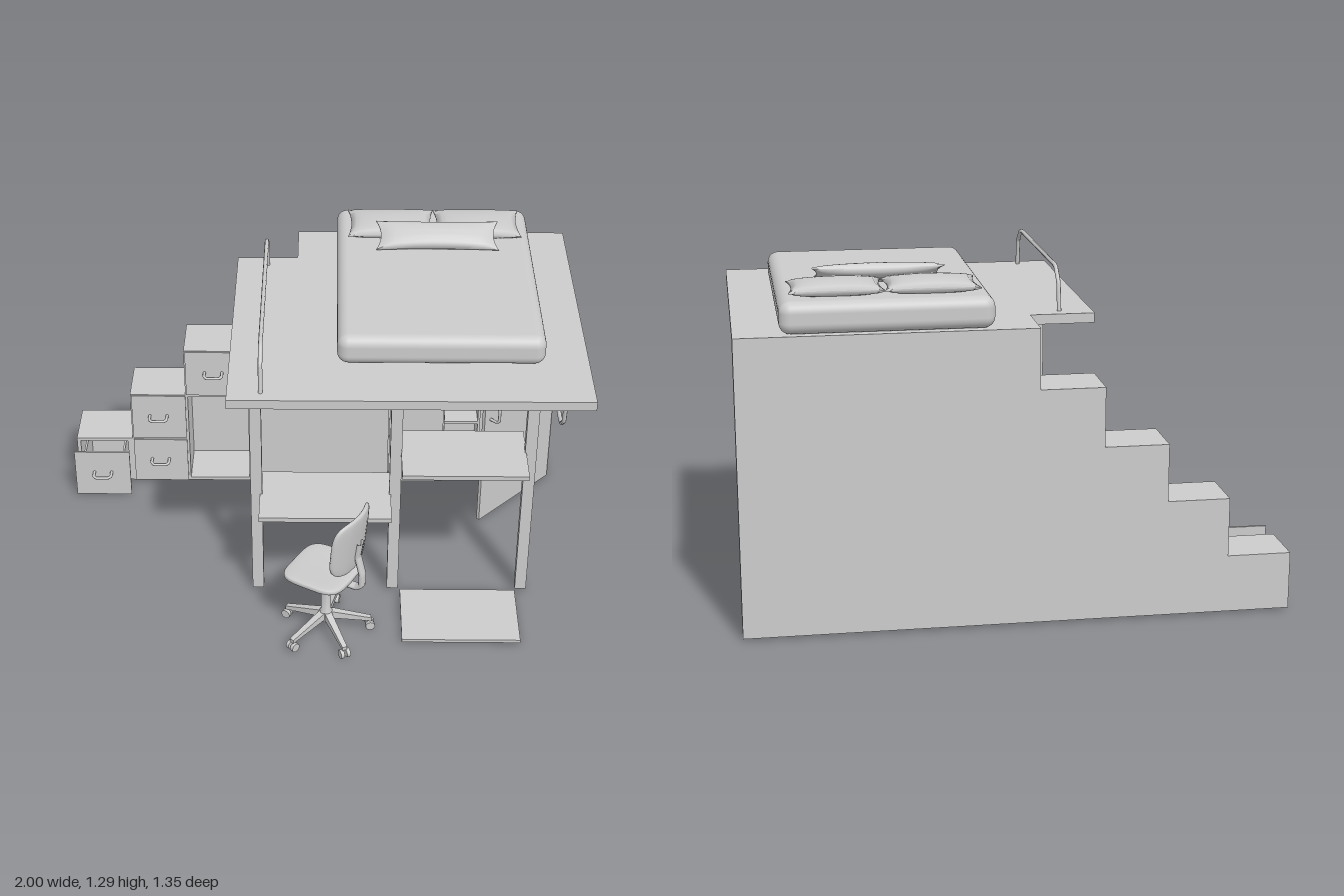
import * as THREE from 'three';
import { RoundedBoxGeometry } from 'three/addons/geometries/RoundedBoxGeometry.js';
import { toCreasedNormals } from 'three/addons/utils/BufferGeometryUtils.js';

const mat = new THREE.MeshStandardMaterial({ color: 0xcccccc, side: THREE.DoubleSide });

function add(parent, name, geo) {
  const m = new THREE.Mesh(geo, mat);
  m.name = name;
  parent.add(m);
  return m;
}
// Box given by its limits on each axis
function box(parent, name, x0, x1, y0, y1, z0, z1) {
  const m = add(parent, name, new THREE.BoxGeometry(x1 - x0, y1 - y0, z1 - z0));
  m.position.set((x0 + x1) / 2, (y0 + y1) / 2, (z0 + z1) / 2);
  return m;
}
// Tube through a list of [x, y, z] points with nearly straight runs
function tube(parent, name, pts, r, seg = 48) {
  const curve = new THREE.CatmullRomCurve3(pts.map(p => new THREE.Vector3(...p)), false, 'catmullrom', 0.1);
  return add(parent, name, new THREE.TubeGeometry(curve, seg, r, 8));
}
// U-shaped pull handle, projecting to +z
function handle(parent, x, y, z, vertical = false) {
  const w = 0.036, d = 0.045;
  const h = tube(parent, 'handle', [[-w, 0, 0], [-w, 0, d * 0.7], [-w * 0.7, 0, d], [w * 0.7, 0, d], [w, 0, d * 0.7], [w, 0, 0]], 0.006, 30);
  h.position.set(x, y, z);
  if (vertical) h.rotation.z = Math.PI / 2;
}
function outline(pts) {
  return new THREE.Shape(pts.map(p => new THREE.Vector2(...p)));
}
function rectHole(x0, x1, y0, y1) {
  return new THREE.Path([[x0, y0], [x0, y1], [x1, y1], [x1, y0]].map(p => new THREE.Vector2(...p)));
}
function slab(parent, name, shape, z0, z1) {
  const m = add(parent, name, new THREE.ExtrudeGeometry(shape, { depth: z1 - z0, bevelEnabled: false }));
  m.position.z = z0;
  return m;
}
// Pillow: thick in the middle, thin rim, pointed corners
function pillow(parent, name, w, h, d) {
  const g = new THREE.BoxGeometry(2, 2, 2, 16, 1, 16), p = g.attributes.position;
  for (let i = 0; i < p.count; i++) {
    const u = p.getX(i), v = p.getZ(i), a = 1 - u * u, b = 1 - v * v;
    p.setXYZ(i, u * w / 2 * (1 - 0.08 * b), p.getY(i) * h / 2 * (0.08 + 0.92 * Math.pow(a * b, 0.4)), v * d / 2 * (1 - 0.1 * a));
  }
  g.computeVertexNormals();
  return add(parent, name, toCreasedNormals(g, 1));
}
// Rounded-square pad, bent along its width by the factor bend
function pad(parent, name, w, h, d, bend, flat) {
  const g = new THREE.SphereGeometry(1, 32, 20), p = g.attributes.position;
  const s = (v, e) => Math.sign(v) * Math.pow(Math.abs(v), e);
  for (let i = 0; i < p.count; i++) {
    const x = s(p.getX(i), 0.5) * w / 2, y = s(p.getY(i), 0.5) * h / 2, z = s(p.getZ(i), 0.5) * d / 2;
    p.setXYZ(i, x, flat ? y + bend * x * x : y, flat ? z : z - bend * x * x);
  }
  g.computeVertexNormals();
  return add(parent, name, g);
}

function makeCabinet(root) {
  const cab = new THREE.Group();
  cab.name = 'stairCabinet';
  root.add(cab);
  const F = -0.465, y0 = 0.01, stairs = [];
  // Stepped carcass, cut open for the drawer bay and two niches
  const xs = [-1, -0.765, -0.535, -0.3, -0.065], tops = [0.225, 0.445, 0.66, 0.88, 1.066];
  xs.forEach((x, i) => stairs.push([x, i ? tops[i - 1] : y0], [x, tops[i]]));
  const body = outline([...stairs, [0.545, 1.066], [0.545, y0]]);
  body.holes.push(rectHole(-0.985, -0.785, 0.025, 0.21), rectHole(-0.525, -0.275, 0.025, 0.435), rectHole(-0.03, 0.51, 0.445, 1.05));
  slab(cab, 'carcass', body, -0.66, F);
  slab(cab, 'backPanel', outline([...stairs, [1, 1.066], [1, y0]]), -0.675, -0.66);
  // Drawer fronts
  for (const [x, y, hx] of [[-0.765, y0, -0.65], [-0.765, 0.23, -0.65], [-0.535, 0.445, -0.415], [-0.3, 0.445, -0.18], [-0.3, 0.665, -0.18]]) {
    box(cab, 'drawerFront', x + 0.005, x + 0.23, y + 0.003, y + 0.212, F, F + 0.006);
    handle(cab, hx, y + 0.115, F + 0.006);
  }
  // Low cupboard doors
  box(cab, 'cupboardDoor', -0.27, 0.312, 0.015, 0.44, F, F + 0.006);
  box(cab, 'cupboardDoor', 0.316, 0.54, 0.015, 0.44, F, F + 0.006);
  handle(cab, -0.235, 0.225, F + 0.006, true);
  // Pulled-out drawer
  box(cab, 'drawerPanel', -1, -0.77, y0, 0.225, -0.37, -0.36);
  box(cab, 'drawerBottom', -0.97, -0.8, 0.03, 0.04, -0.63, -0.37);
  for (const x of [-0.97, -0.808]) box(cab, 'drawerSide', x, x + 0.008, 0.03, 0.17, -0.63, -0.37);
  box(cab, 'drawerBack', -0.97, -0.8, 0.03, 0.17, -0.638, -0.63);
  handle(cab, -0.885, 0.125, -0.36);

  // Wardrobe bay with shelves
  const bay = outline([[0.545, y0], [1, y0], [1, 1.066], [0.545, 1.066]]);
  bay.holes.push(rectHole(0.55, 0.985, 0.022, 1.054));
  slab(cab, 'wardrobe', bay, -0.66, -0.52);
  box(cab, 'divider', 0.69, 0.7, 0.022, 1.054, -0.66, -0.53);
  for (const y of [0.27, 0.535, 0.8]) box(cab, 'wardrobeShelf', 0.55, 0.69, y - 0.006, y + 0.006, -0.66, -0.53);
  // Wardrobe door standing ajar
  const door = new THREE.Group();
  door.name = 'wardrobeDoor';
  door.position.set(0.992, 0, -0.52);
  door.rotation.y = 0.8;
  box(door, 'doorPanel', -0.445, 0, y0, 1.064, -0.007, 0.007);
  handle(door, -0.41, 0.535, 0.007, true);
  cab.add(door);
}

function makeChair(root) {
  const chair = new THREE.Group();
  chair.name = 'deskChair';
  chair.position.set(0.055, 0, 0.495);
  chair.rotation.y = 1.05;
  root.add(chair);
  // Five-arm base on castors
  for (let i = 0; i < 5; i++) {
    const arm = new THREE.Group();
    arm.name = 'baseArm';
    arm.rotation.y = i * Math.PI * 0.4 + 0.32;
    const g = new THREE.BoxGeometry(0.17, 0.022, 0.024), p = g.attributes.position;
    for (let k = 0; k < p.count; k++) {
      const outer = p.getX(k) > 0;
      p.setY(k, p.getY(k) * (outer ? 0.7 : 1.5) + (outer ? -0.022 : 0.022));
      p.setZ(k, p.getZ(k) * (outer ? 0.8 : 1.2));
    }
    g.computeVertexNormals();
    add(arm, 'armBar', g).position.set(0.09, 0.068, 0);
    for (const z of [-0.012, 0.012]) {
      const w = add(arm, 'castor', new THREE.CylinderGeometry(0.018, 0.018, 0.014, 14));
      w.rotation.x = Math.PI / 2;
      w.position.set(0.17, 0.02, z);
    }
    chair.add(arm);
  }
  const col = [[0, 0.06], [0.025, 0.06], [0.025, 0.1], [0.02, 0.11], [0.02, 0.2], [0.013, 0.2], [0.013, 0.265], [0.05, 0.265], [0.05, 0.285], [0, 0.285]];
  add(chair, 'gasLift', toCreasedNormals(new THREE.LatheGeometry(col.map(c => new THREE.Vector2(...c)), 16), 0.6));
  // Seat, back strut and backrest
  pad(chair, 'seat', 0.255, 0.032, 0.25, 0.5, true).position.set(0, 0.289, -0.015);
  const strut = tube(chair, 'backStrut', [[0, 0.272, 0.02], [0, 0.272, 0.13], [0, 0.29, 0.155], [0, 0.34, 0.155], [0, 0.42, 0.135], [0, 0.485, 0.145]], 0.011);
  strut.scale.x = 1.8;
  const back = pad(chair, 'backrest', 0.25, 0.25, 0.026, 2.2, false);
  back.position.set(0, 0.482, 0.128);
  back.rotation.x = 0.1;
}

export function createModel() {
  const root = new THREE.Group();
  root.name = 'loftBed';
  makeCabinet(root);

  // Platform, notched where the stairs arrive
  const deck = add(root, 'platform', new THREE.ExtrudeGeometry(
    outline([[-0.3, -0.555], [1, -0.555], [1, 0.675], [-0.065, 0.675], [-0.065, 0.46], [-0.3, 0.46]]),
    { depth: 0.036, bevelEnabled: false }));
  deck.rotation.x = -Math.PI / 2;
  deck.position.y = 1.066;

  // Posts with the desk and shelf between them
  for (const x of [-0.213, 0.316, 0.822]) box(root, 'post', x - 0.022, x + 0.022, 0.01, 1.066, 0.215, 0.25);
  box(root, 'desk', -0.2, 0.3, 0.45, 0.469, 0.105, 0.402);
  box(root, 'shelf', 0.335, 0.805, 0.65, 0.668, 0.105, 0.402);
  box(root, 'floorMat', 0.345, 0.797, 0.007, 0.02, 0.27, 0.57);

  // Guard rail above and hanging rail below the platform
  tube(root, 'guardRail', [[-0.18, 1.1, 0.505], [-0.18, 1.205, 0.485], [-0.18, 1.25, 0.43], [-0.18, 1.254, 0.38],
    [-0.18, 1.254, -0.28], [-0.18, 1.25, -0.33], [-0.18, 1.205, -0.385], [-0.18, 1.1, -0.405]], 0.008, 90);
  tube(root, 'hangingRail', [[0.9, 1.068, 0.495], [0.9, 0.97, 0.475], [0.9, 0.922, 0.42], [0.9, 0.915, 0.37],
    [0.9, 0.915, 0.01], [0.9, 0.92, -0.035], [0.9, 0.965, -0.092], [0.9, 1.068, -0.112]], 0.008, 90);

  // Bedding
  add(root, 'mattress', new RoundedBoxGeometry(0.75, 0.115, 1.005, 5, 0.04)).position.set(0.465, 1.16, -0.17);
  for (const x of [0.3, 0.635]) pillow(root, 'pillow', 0.335, 0.06, 0.215).position.set(x, 1.237, -0.497);
  const bolster = pillow(root, 'bolster', 0.47, 0.06, 0.13);
  bolster.position.set(0.475, 1.256, -0.365);
  bolster.rotation.x = 0.5;

  makeChair(root);
  return root;
}
